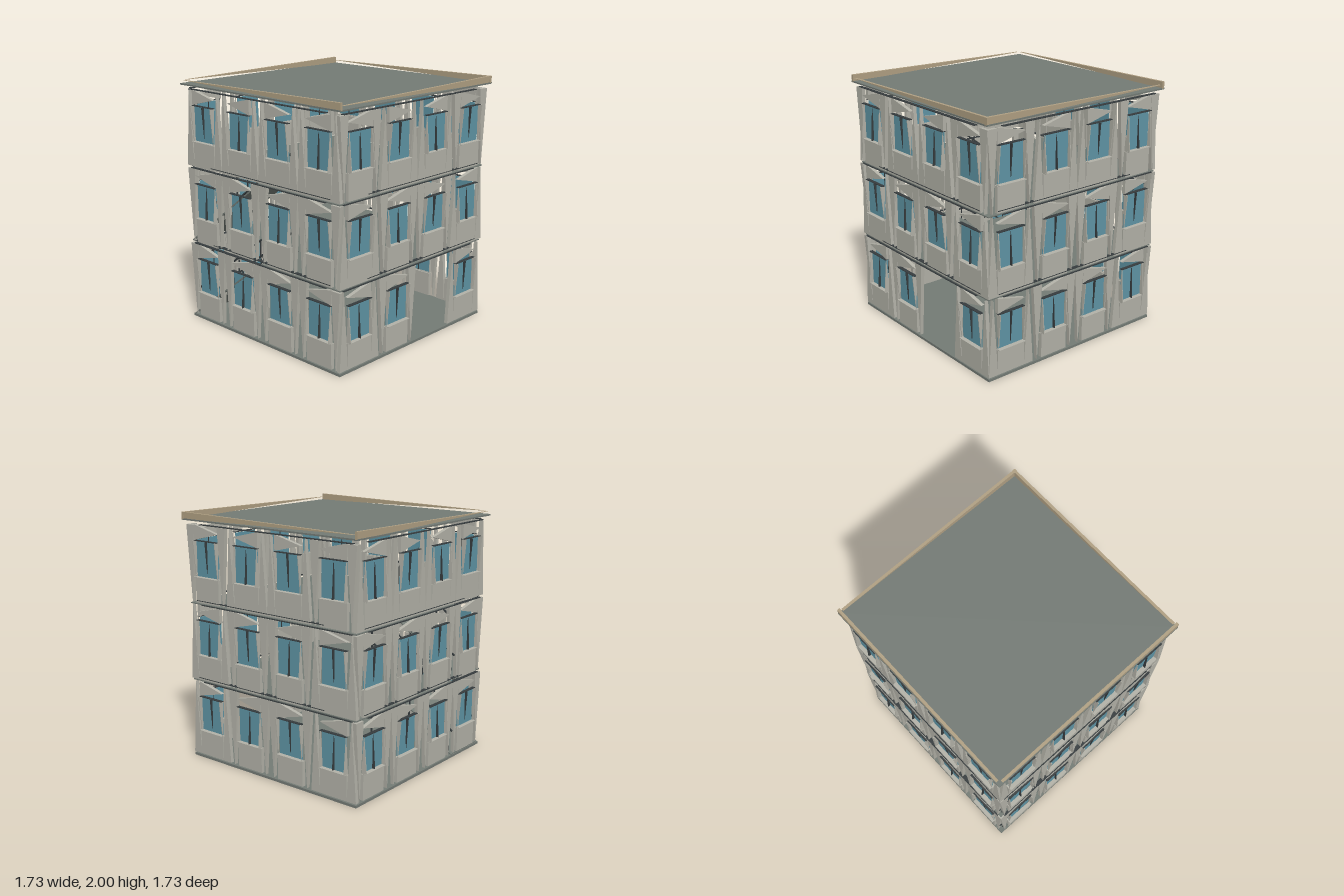
import * as THREE from 'three';

const material = (color) => new THREE.MeshStandardMaterial({ color, flatShading: true, side: THREE.DoubleSide });
const wall = material(0xb3b2a8);
const glass = material(0x5f95a5);
const slabGrey = material(0x747b75);
const dark = material(0x363c3e);
const tan = material(0xb0a083);

const HALF = 0.84, BAY = 0.42, THICK = 0.03, STOREY = 0.632;

function add(parent, name, geometry, mat, x = 0, y = 0, z = 0) {
  const mesh = new THREE.Mesh(geometry, mat);
  mesh.name = name;
  mesh.position.set(x, y, z);
  parent.add(mesh);
  return mesh;
}

function box(parent, name, mat, w, h, d, x, y, z) {
  return add(parent, name, new THREE.BoxGeometry(w, h, d), mat, x, y, z);
}

// Triangular slab: three [x, y] corners with a depth along z
function wedge(parent, name, mat, corners, depth, x, y, z) {
  const shape = new THREE.Shape(corners.map(([a, b]) => new THREE.Vector2(a, b)));
  const geometry = new THREE.ExtrudeGeometry(shape, { depth, bevelEnabled: false });
  return add(parent, name, geometry, mat, x, y, z);
}

// Upright pier: a broad end and a pointed end
function pier(parent, x, tipUp) {
  const [base, tip] = tipUp ? [0.03, 0.64] : [0.64, 0.03];
  wedge(parent, 'pier', wall, [[-0.043, base], [0.043, base], [0, tip]], THICK, x, 0, HALF - THICK);
}

// Window with pane, tapered jambs, sill, head and mullion
function windowUnit(parent, tipUp) {
  const g = new THREE.Group();
  g.name = 'window';
  box(g, 'pane', glass, 0.226, 0.275, 0.006, 0, 0.377, HALF - 0.015);
  for (const s of [-1, 1]) {
    const jamb = wedge(g, 'jamb', wall,
      [[-0.02, tipUp ? 0.235 : 0.52], [0.025, tipUp ? 0.235 : 0.52], [0.0, tipUp ? 0.52 : 0.235]], 0.006, s * 0.118 + 0.003, 0, HALF);
    jamb.rotation.y = -Math.PI / 2;
  }
  const mullion = wedge(g, 'mullion', dark,
    tipUp ? [[-0.018, 0.24], [0.018, 0.24], [0, 0.5]] : [[-0.018, 0.515], [0.018, 0.515], [0, 0.27]], 0.006, 0.003, 0, HALF - 0.008);
  mullion.rotation.y = -Math.PI / 2;
  box(g, 'windowSill', wall, 0.245, 0.006, 0.04, 0, 0.234, HALF);
  box(g, 'windowHead', dark, 0.245, 0.005, 0.03, 0, 0.521, HALF - 0.005);
  parent.add(g);
}

// One bay: panel below, window, pointed lintel above, a pier on each side
function bay(face, storey, column) {
  const g = new THREE.Group();
  g.name = 'bay';
  const odd = (face * 3 + storey + column) % 2 === 0;
  const tipUp = storey === 2;
  const flip = (face === 0 || face === 1) && column % 3 === 0;
  box(g, 'panel', wall, 0.25, 0.2, THICK, 0, 0.13, HALF - THICK / 2);
  const e = odd ? 0.125 : -0.125;
  wedge(g, 'lintel', wall, [[e, 0.525], [e, 0.645], [-e, 0.585]], THICK, 0, 0, HALF - THICK);
  pier(g, -0.167, flip !== tipUp);
  pier(g, 0.167, flip !== tipUp);
  windowUnit(g, odd);
  g.position.set((column - 1.5) * BAY, storey * STOREY, 0);
  return g;
}

// Straight flight rising from the back wall, with rail and posts
function stairFlight(y0) {
  const g = new THREE.Group();
  g.name = 'stairFlight';
  const run = 0.82, rise = 0.62, length = Math.hypot(run, rise), tilt = -Math.atan2(rise, run);
  const ramp = box(g, 'ramp', slabGrey, 0.4, 0.012, length, -0.63, rise / 2, -0.42);
  ramp.rotation.x = tilt;
  for (const x of [-0.81, -0.44]) {
    const rail = box(g, 'rail', dark, 0.012, 0.012, length, x, rise / 2 + 0.2, -0.42);
    rail.rotation.x = tilt;
    for (let i = 0; i < 7; i++) {
      const z = -0.8 + i * 0.13;
      box(g, 'railPost', dark, 0.008, 0.2, 0.008, x, (z + 0.83) * rise / run + 0.1, z);
    }
  }
  for (const z of [-0.015, -0.41]) box(g, 'tallPost', dark, 0.012, z < -0.1 ? 0.32 : 0.61, 0.012, -0.435, z < -0.1 ? 0.16 : 0.305, z);
  g.position.y = y0;
  return g;
}

export function createModel() {
  const model = new THREE.Group();
  model.name = 'building';

  // Four walls of three storeys, open at the front entrance
  const parapetSide = [1, -1, -1, 1];
  for (let face = 0; face < 4; face++) {
    const side = new THREE.Group();
    side.name = ['frontWall', 'rightWall', 'backWall', 'leftWall'][face];
    for (let storey = 0; storey < 3; storey++) {
      for (let column = 0; column < 4; column++) {
        const entrance = face === 0 && storey === 0 && column === 2;
        if (!entrance) side.add(bay(face, storey, column));
      }
      // Thin ledges at the storey joints
      if (storey) box(side, 'ledge', dark, 1.3, 0.005, 0.03, 0.1 * parapetSide[face], storey * STOREY + 0.046, HALF - 0.012);
      box(side, 'topLedge', dark, 1.5, 0.005, 0.03, -0.05 * parapetSide[face], (storey + 1) * STOREY + 0.013, HALF - 0.012);
    }
    const s = parapetSide[face];
    wedge(side, 'parapet', tan, [[-0.83 * s, 1.975], [0.865 * s, 1.945], [0.865 * s, 2]], 0.022, 0, 0, HALF);
    side.rotation.y = face * Math.PI / 2;
    model.add(side);
  }

  // Ground and roof plates
  box(model, 'groundSlab', slabGrey, 1.68, 0.02, 1.68, 0, 0.01, 0);
  box(model, 'roofSlab', slabGrey, 1.73, 0.012, 1.73, 0, 1.944, 0);

  // Inner floors, cut out over the stairs
  for (const y of [0.65, 1.28]) {
    box(model, 'floorFront', slabGrey, 1.66, 0.008, 0.83, 0, y, 0.415);
    box(model, 'floorBack', slabGrey, 1.25, 0.008, 0.83, 0.205, y, -0.415);
  }
  model.add(stairFlight(0.02), stairFlight(0.66));
  return model;
}
